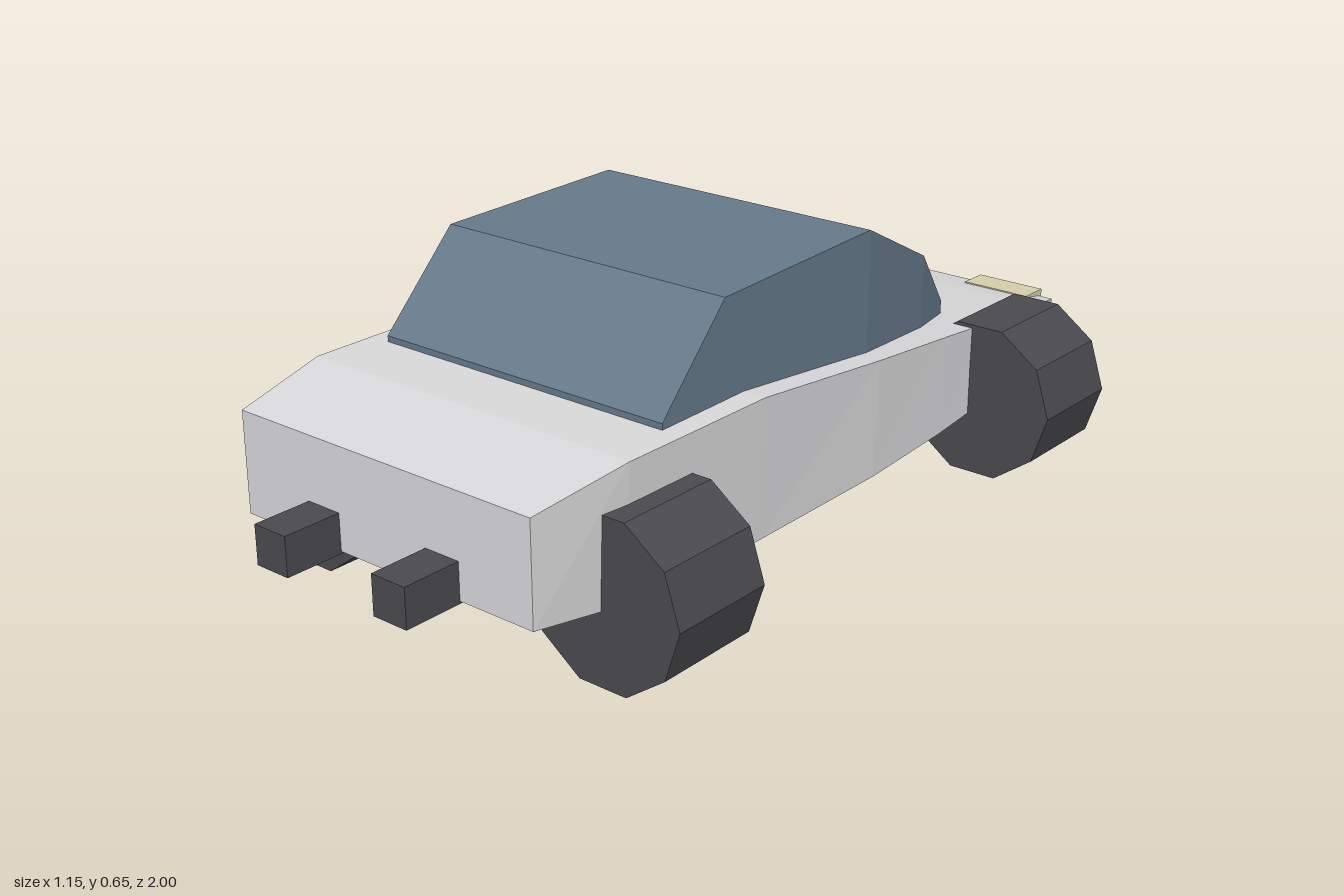
import * as THREE from 'three';

const paint = new THREE.MeshStandardMaterial({ name: 'silver paint', color: 0xd8d8da });
const glass = new THREE.MeshStandardMaterial({ name: 'blue glass', color: 0x64798a });
const rubber = new THREE.MeshStandardMaterial({ name: 'dark rubber', color: 0x4a494e });
const lamp = new THREE.MeshStandardMaterial({ name: 'cream lamp', color: 0xd4ceaa });

function addMesh(parent, name, geometry, material, x = 0, y = 0, z = 0) {
  const mesh = new THREE.Mesh(geometry, material);
  mesh.name = name;
  mesh.position.set(x, y, z);
  parent.add(mesh);
  return mesh;
}

// Faceted copy of a geometry
function faceted(geometry) {
  const flat = geometry.index ? geometry.toNonIndexed() : geometry;
  flat.computeVertexNormals();
  return flat;
}

// Four-cornered hull through stations [z, bottomY, topY, bottomHalfWidth, topHalfWidth], rear (+z) first
function loft(stations) {
  const rings = stations.map(([z, yb, yt, wb, wt]) => [[-wb, yb, z], [wb, yb, z], [wt, yt, z], [-wt, yt, z]]);
  const points = [];
  const quad = (a, b, c, d) => points.push(...a, ...b, ...c, ...a, ...c, ...d);
  quad(...rings[0]);
  for (let s = 0; s < rings.length - 1; s++) {
    const a = rings[s], b = rings[s + 1];
    for (let i = 0; i < 4; i++) {
      const j = (i + 1) % 4;
      quad(a[i], b[i], b[j], a[j]);
    }
  }
  quad(...[...rings[rings.length - 1]].reverse());
  const geometry = new THREE.BufferGeometry();
  geometry.setAttribute('position', new THREE.Float32BufferAttribute(points, 3));
  return faceted(geometry);
}

export function createModel() {
  const car = new THREE.Group();
  car.name = 'car';

  // Body shell
  addMesh(car, 'body', loft([
    [0.87, 0.175, 0.392, 0.378, 0.378],
    [0.65, 0.147, 0.43, 0.4, 0.41],
    [0.43, 0.132, 0.43, 0.402, 0.411],
    [0.26, 0.13, 0.43, 0.402, 0.411],
    [-0.13, 0.13, 0.388, 0.4, 0.405],
    [-0.4, 0.133, 0.356, 0.385, 0.387],
    [-0.62, 0.142, 0.328, 0.37, 0.37],
    [-0.86, 0.165, 0.295, 0.35, 0.35],
    [-0.99, 0.195, 0.27, 0.313, 0.313],
  ]), paint);

  // Cabin, sunk slightly into the body
  addMesh(car, 'cabin', loft([
    [0.505, 0.38, 0.443, 0.363, 0.363],
    [0.32, 0.38, 0.635, 0.36, 0.36],
    [-0.16, 0.35, 0.648, 0.352, 0.352],
    [-0.435, 0.32, 0.515, 0.305, 0.305],
    [-0.587, 0.3, 0.362, 0.258, 0.258],
  ]), glass);

  // Ten-sided wheels, each with a small round hub on one face
  const tyreShape = faceted(new THREE.CylinderGeometry(0.182, 0.182, 0.24, 10, 1, false, Math.PI / 2).rotateX(Math.PI / 2));
  const hubShape = new THREE.CylinderGeometry(0.04, 0.04, 0.02, 32).rotateX(Math.PI / 2);
  for (const side of [-1, 1]) {
    for (const [end, z] of [['rear', 0.593], ['front', -0.65]]) {
      const wheel = new THREE.Group();
      wheel.name = `${end}${side > 0 ? 'Left' : 'Right'}Wheel`;
      wheel.position.set(side * 0.395, 0.174, z);
      addMesh(wheel, 'tyre', tyreShape, rubber);
      addMesh(wheel, 'hub', hubShape, paint, 0, 0, -side * 0.117);
      car.add(wheel);
    }
    // Tail pipes
    addMesh(car, 'tailPipe', new THREE.BoxGeometry(0.084, 0.084, 0.2), rubber, side * 0.157, 0.212, 0.9);
    // Headlights
    addMesh(car, 'headlight', new THREE.BoxGeometry(0.17, 0.095, 0.07), lamp, side * 0.194, 0.237, -0.965);
  }
  return car;
}
